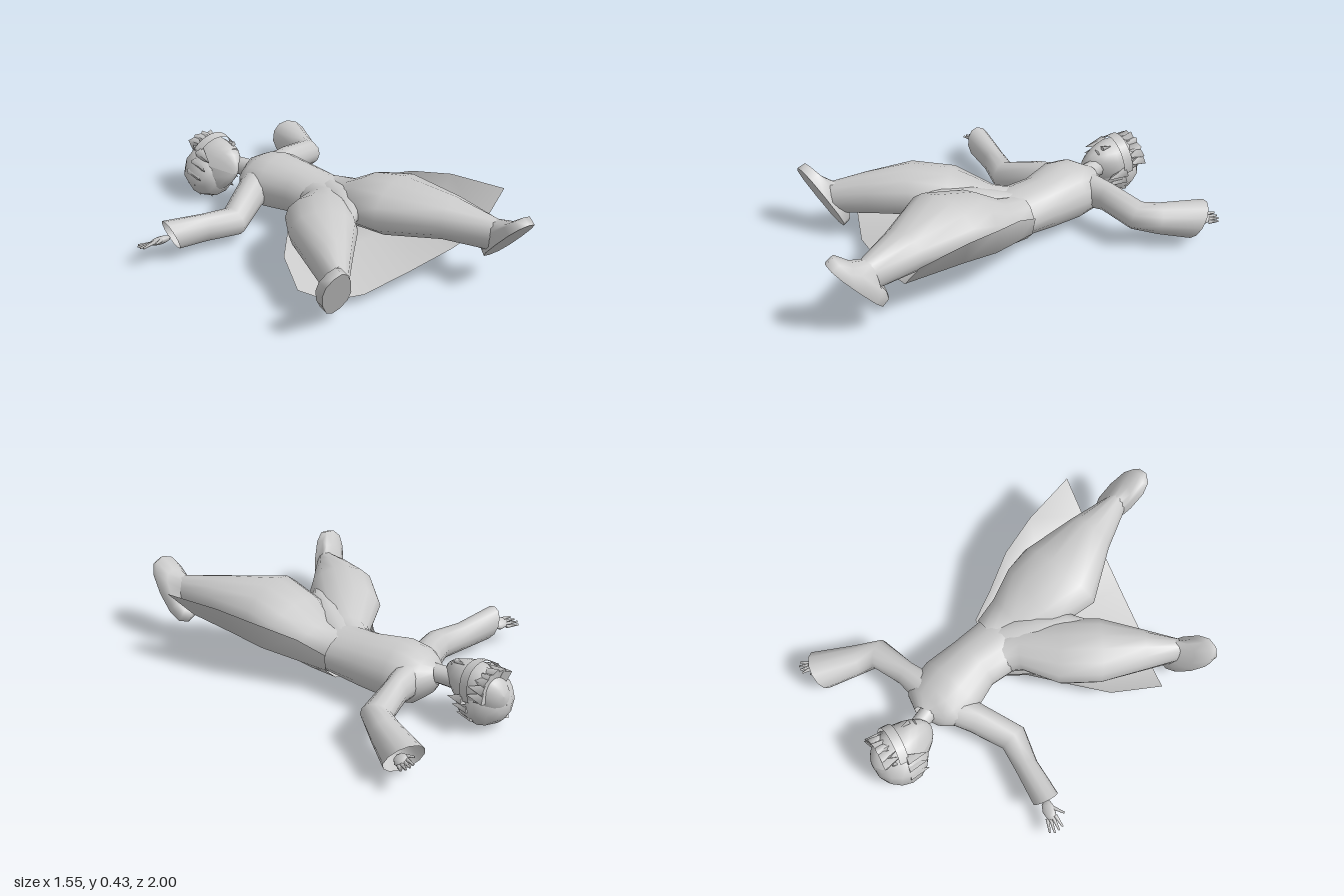
import * as THREE from 'three';

const mat = new THREE.MeshStandardMaterial({ color: 0xcccccc, side: THREE.DoubleSide });
const V = (x, y, z) => new THREE.Vector3(x, y, z);

function add(parent, name, geo, pos) {
  const m = new THREE.Mesh(geo, mat);
  m.name = name;
  if (pos) m.position.set(...pos);
  parent.add(m);
  return m;
}

// Surface over a grid of points: rows x n, optionally closed round each row
function skin(rows, closed) {
  const n = rows[0].length, idx = [];
  for (let i = 0; i < rows.length - 1; i++)
    for (let j = 0; j < (closed ? n : n - 1); j++) {
      const a = i * n + j, b = i * n + (j + 1) % n;
      idx.push(a, b, a + n, b, b + n, a + n);
    }
  const g = new THREE.BufferGeometry();
  g.setAttribute('position', new THREE.Float32BufferAttribute(rows.flat().flatMap(p => p.toArray()), 3));
  g.setIndex(idx);
  g.computeVertexNormals();
  return g;
}

// Ring with half-axes u and v; a power below 1 squares it off
const ring = (c, u, v, n, pow = 1) => Array.from({ length: n }, (_, j) => {
  const t = j / n * Math.PI * 2, f = a => Math.sign(a) * Math.abs(a) ** pow;
  return c.clone().addScaledVector(u, f(Math.cos(t))).addScaledVector(v, f(Math.sin(t)));
});

// Limb from [x, y, z, halfWidth, halfHeight, lean] stations; rings stand across the path
function limb(st, n = 12) {
  const c = st.map(s => V(s[0], s[1], s[2]));
  return skin(st.map((s, i) => {
    const dir = c[Math.min(i + 1, c.length - 1)].clone().sub(c[Math.max(i - 1, 0)]).normalize();
    const u = V(0, 1, 0).cross(dir).normalize();
    const v = dir.clone().cross(u).addScaledVector(dir, s[5] || 0);
    return ring(c[i], u.multiplyScalar(s[3]), v.multiplyScalar(s[4]), n);
  }), true);
}

// Foot from the ankle to a flat sole running heel to toe
function shoe(parent, name, ankle, heel, toe, side) {
  const h = V(...heel), t = V(...toe), u = V(...side);
  const mid = h.clone().add(t).multiplyScalar(0.5), v = t.clone().sub(h).multiplyScalar(0.5);
  const out = u.clone().cross(v).normalize();
  const a = V(...ankle), rim = mid.clone().addScaledVector(out, -0.045);
  const sole = ring(mid, u, v, 12, 0.8);
  add(parent, name, skin([
    ring(a, u.clone().multiplyScalar(0.65), V(0, 0.08, 0.02), 12),
    ring(a.clone().lerp(rim, 0.55), u.clone().multiplyScalar(0.85), v.clone().multiplyScalar(0.65), 12, 0.9),
    ring(rim, u, v.clone().multiplyScalar(0.97), 12, 0.8), sole], true));
  add(parent, name + 'Sole', skin([sole, sole.map(() => mid.clone())], true));
}

// Palm with four fingers and a thumb, reaching along dir, rolled about it
function hand(parent, name, pos, dir, len, roll) {
  const g = new THREE.Group();
  g.name = name;
  const palm = add(g, 'palm', new THREE.SphereGeometry(1, 8, 6));
  palm.scale.set(0.036, 0.02, len * 0.38);
  for (let i = 0; i < 5; i++) {
    const thumb = i === 4;
    const l = len * (thumb ? 0.4 : 0.55 - Math.abs(i - 1.3) * 0.06);
    const f = add(g, thumb ? 'thumb' : 'finger', new THREE.CylinderGeometry(0.005, 0.01, l, 5).rotateX(Math.PI / 2).translate(0, 0, l / 2));
    f.position.set(thumb ? 0.028 : -0.026 + i * 0.016, 0, thumb ? 0 : len * 0.25);
    f.rotation.set(-0.2 + i * 0.14, thumb ? 0.7 : (i - 1.5) * 0.08, 0);
  }
  g.position.set(...pos);
  g.lookAt(V(...pos).add(V(...dir)));
  g.rotateZ(roll);
  parent.add(g);
}

function buildHead() {
  const head = new THREE.Group();
  head.name = 'head';
  // Face, narrowing to the chin
  const face = new THREE.SphereGeometry(1, 16, 12), p = face.attributes.position;
  for (let i = 0; i < p.count; i++) {
    const y = p.getY(i), k = y < 0 ? 1 + y * 0.4 : 1;
    p.setXYZ(i, p.getX(i) * 0.115 * k, y * 0.17, p.getZ(i) * 0.15 + (y < 0 ? -y * 0.04 : 0));
  }
  face.computeVertexNormals();
  add(head, 'face', face);
  add(head, 'nose', new THREE.ConeGeometry(0.015, 0.06, 4), [0, -0.03, 0.155]).rotation.x = -0.25;
  add(head, 'mouth', new THREE.SphereGeometry(1, 8, 6), [0, -0.085, 0.143]).scale.set(0.02, 0.006, 0.01);
  // Hair cap over the back of the skull
  const hair = add(head, 'hair', new THREE.SphereGeometry(1, 10, 8), [0, 0.02, -0.045]);
  hair.scale.set(0.138, 0.14, 0.14);
  const spike = (name, x, y, z, dx, dy, dz, r, l) => {
    const s = add(head, name, new THREE.ConeGeometry(r, l, 4), [x, y, z]);
    s.quaternion.setFromUnitVectors(V(0, 1, 0), V(dx, dy, dz).normalize());
  };
  // Fringe, crown tufts and tufts at the back
  for (let i = -3; i <= 3; i++) {
    const a = i * 0.32, s = Math.sin(a), odd = i % 2 !== 0;
    spike('fringe', s * 0.11, 0.095, Math.cos(a) * 0.11, s * 0.4, -1, 0.35, 0.04, 0.09);
    spike('tuft', s * 0.1, 0.125 - Math.abs(i) * 0.015, odd ? 0.03 : -0.04, s, 0.8, odd ? 0.5 : -0.4, 0.045, 0.08);
    spike('backTuft', s * 0.1, odd ? -0.02 : 0.06, -0.04 - Math.cos(a) * 0.11, s, -0.6, -0.7, 0.05, 0.07);
  }
  // Locks beside the cheeks
  for (const s of [-1, 1])
    for (let k = 0; k < 3; k++)
      spike('sideLock', s * 0.112, -0.025, 0.04 - k * 0.055, s * 0.1, -1, 0, 0.035, 0.11);
  // Band across the eyes
  const band = add(head, 'eyeBand', new THREE.CylinderGeometry(0.127, 0.127, 0.05, 10, 1, true, -1.3, 2.6), [0, 0.045, 0]);
  band.scale.z = 1.28;
  // Lying back, face turned up and to its left
  const f = V(0.42, 0.9, 0.14).normalize();
  const x = V(-0.06, 0.15, -1).cross(f).normalize();
  head.quaternion.setFromRotationMatrix(new THREE.Matrix4().makeBasis(x, f.clone().cross(x), f));
  head.position.set(-0.08, 0.215, -0.725);
  return head;
}

export function createModel() {
  const model = new THREE.Group();
  model.name = 'recliningFigure';

  // Torso and neck
  add(model, 'torso', limb([
    [0.21, 0.225, 0.04, 0.16, 0.105], [0.19, 0.22, -0.07, 0.155, 0.115], [0.16, 0.22, -0.22, 0.145, 0.13],
    [0.1, 0.225, -0.37, 0.175, 0.142], [0.065, 0.22, -0.47, 0.165, 0.13],
    [0.05, 0.24, -0.53, 0.125, 0.085], [0.03, 0.25, -0.56, 0.045, 0.045]], 16));
  add(model, 'neck', limb([[0.03, 0.25, -0.52, 0.045, 0.045], [-0.03, 0.24, -0.65, 0.042, 0.05]], 10));
  model.add(buildHead());

  // Sleeves, open at the slanted cuffs
  add(model, 'rightSleeve', limb([
    [0.02, 0.22, -0.42, 0.09, 0.09], [-0.1, 0.2, -0.33, 0.075, 0.09], [-0.26, 0.155, -0.21, 0.075, 0.075],
    [-0.42, 0.16, -0.22, 0.058, 0.072], [-0.61, 0.175, -0.215, 0.066, 0.078, 0.5]]));
  add(model, 'leftSleeve', limb([
    [0.13, 0.23, -0.48, 0.08, 0.09], [0.26, 0.235, -0.54, 0.06, 0.075], [0.43, 0.205, -0.615, 0.075, 0.07],
    [0.46, 0.18, -0.72, 0.075, 0.078], [0.505, 0.16, -0.91, 0.1, 0.095, 0.4]]));
  hand(model, 'rightHand', [-0.665, 0.155, -0.225], [-1, -0.1, -0.1], 0.145, 0.6);
  hand(model, 'leftHand', [0.535, 0.175, -0.925], [0.25, 0.05, -1], 0.1, 0.5);

  // Baggy trouser legs joined at the crotch
  add(model, 'leftLeg', limb([
    [0.25, 0.225, -0.08, 0.1, 0.1], [0.28, 0.24, 0.06, 0.14, 0.11], [0.31, 0.3, 0.2, 0.2, 0.13], [0.34, 0.335, 0.36, 0.225, 0.135],
    [0.475, 0.33, 0.6, 0.125, 0.105], [0.57, 0.305, 0.81, 0.055, 0.085]], 14));
  add(model, 'rightLeg', limb([
    [0.15, 0.225, -0.08, 0.1, 0.1], [0.12, 0.235, 0.04, 0.12, 0.11], [-0.01, 0.285, 0.2, 0.17, 0.12], [-0.095, 0.3, 0.36, 0.165, 0.12],
    [-0.18, 0.27, 0.55, 0.105, 0.105], [-0.25, 0.24, 0.71, 0.055, 0.085]], 14));
  add(model, 'crotch', limb([
    [0.2, 0.235, -0.03, 0.1, 0.1], [0.14, 0.28, 0.15, 0.1, 0.09], [0.09, 0.31, 0.28, 0.07, 0.06], [0.06, 0.33, 0.37, 0.01, 0.02]]));
  shoe(model, 'leftShoe', [0.57, 0.305, 0.77], [0.6, 0.16, 0.75], [0.605, 0.43, 1], [0.08, 0, 0]);
  shoe(model, 'rightShoe', [-0.24, 0.24, 0.67], [-0.21, 0.09, 0.68], [-0.365, 0.375, 0.855], [0.075, 0.04, 0]);

  // Coat skirt spread under the legs, waist to hem, left edge to right edge
  const coat = [
    [[0.35, 0.26, -0.11], [0.34, 0.17, -0.1], [0.28, 0.11, -0.1], [0.2, 0.095, -0.1], [0.12, 0.1, -0.1], [0.06, 0.14, -0.1], [0.03, 0.23, -0.1]],
    [[0.43, 0.32, 0.01], [0.42, 0.2, 0.01], [0.33, 0.125, 0.02], [0.2, 0.11, 0.02], [0.08, 0.115, 0.02], [0, 0.15, 0.01], [-0.03, 0.25, 0.01]],
    [[0.56, 0.38, 0.17], [0.53, 0.24, 0.17], [0.39, 0.16, 0.17], [0.2, 0.15, 0.17], [0.03, 0.145, 0.17], [-0.11, 0.16, 0.16], [-0.17, 0.24, 0.16]],
    [[0.66, 0.415, 0.36], [0.58, 0.26, 0.35], [0.42, 0.19, 0.34], [0.2, 0.175, 0.33], [0.02, 0.165, 0.32], [-0.16, 0.16, 0.32], [-0.29, 0.21, 0.32]],
    [[0.77, 0.42, 0.63], [0.62, 0.25, 0.65], [0.45, 0.2, 0.66], [0.2, 0.14, 0.65], [-0.05, 0.09, 0.64], [-0.22, 0.09, 0.6], [-0.37, 0.18, 0.57]],
  ];
  add(model, 'coatSkirt', skin(coat.map(r => r.map(q => V(...q)).reverse()), false));

  return model;
}
